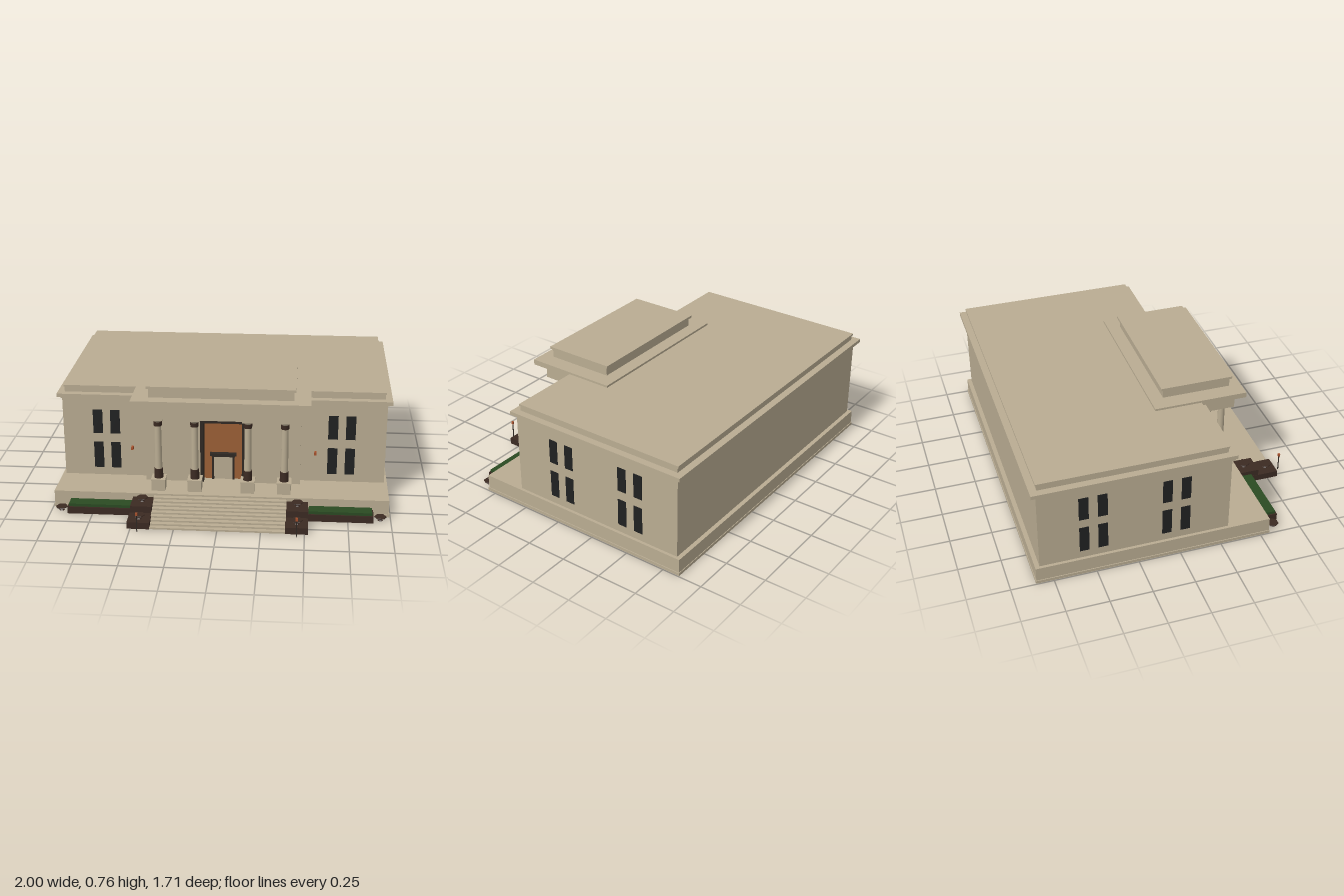
import * as THREE from 'three';

const mat = (name, color, extra = {}) => {
  const m = new THREE.MeshStandardMaterial({ color, ...extra });
  m.name = name;
  return m;
};

export function createModel() {
  const root = new THREE.Group();
  root.name = 'pillaredHall';
  const stone = mat('stone', 0xb9ac92);
  const brown = mat('darkBrown', 0x3b2a22);
  const trim = mat('darkTrim', 0x2f2823);
  const wood = mat('orangeWood', 0x9c6036);
  const leaf = mat('hedgeGreen', 0x2a4a22);
  const glass = mat('windowBlack', 0x202121);
  const lampMat = mat('lampOrange', 0xa8512c);

  // Box given by its extents on each axis
  const box = (name, m, x0, x1, y0, y1, z0, z1, parent = root) => {
    const mesh = new THREE.Mesh(new THREE.BoxGeometry(x1 - x0, y1 - y0, z1 - z0), m);
    mesh.position.set((x0 + x1) / 2, (y0 + y1) / 2, (z0 + z1) / 2);
    mesh.name = name;
    parent.add(mesh);
    return mesh;
  };
  // Box centred on x = 0
  const wide = (name, m, hx, y0, y1, z0, z1) => box(name, m, -hx, hx, y0, y1, z0, z1);
  // Round or faceted section standing on y0
  const drum = (name, m, x, z, y0, y1, rBottom, rTop, sides, parent) => {
    const g = new THREE.CylinderGeometry(rTop, rBottom, y1 - y0, sides, 1, false, Math.PI / 6);
    const mesh = new THREE.Mesh(sides < 10 ? g.toNonIndexed() : g, m);
    if (sides < 10) mesh.geometry.computeVertexNormals();
    mesh.position.set(x, (y0 + y1) / 2, z);
    mesh.name = name;
    parent.add(mesh);
  };

  // Plinth, main block and roof
  wide('plinthLip', stone, 0.995, 0, 0.018, -0.854, 0.558);
  wide('plinth', stone, 0.99, 0.018, 0.103, -0.85, 0.555);
  wide('mainWalls', stone, 0.972, 0.103, 0.605, -0.824, 0.3);
  wide('corniceBed', stone, 0.98, 0.6, 0.612, -0.832, 0.308);
  wide('cornice', stone, 1, 0.61, 0.632, -0.855, 0.323);
  wide('roofParapet', stone, 0.958, 0.632, 0.666, -0.813, 0.28);
  wide('roofCap', stone, 0.963, 0.664, 0.675, -0.82, 0.285);

  // Entrance bay with a recessed opening
  for (const s of [-1, 1]) {
    const [a, b] = s < 0 ? [-0.465, -0.135] : [0.135, 0.465];
    box('entranceWall', stone, a, b, 0.103, 0.57, 0.29, 0.36);
    const [c, d] = s < 0 ? [-0.135, -0.115] : [0.115, 0.135];
    box('portalJamb', trim, c, d, 0.103, 0.51, 0.3, 0.367);
  }
  wide('wallOverPortal', stone, 0.135, 0.51, 0.57, 0.29, 0.36);
  wide('portalLintel', trim, 0.115, 0.485, 0.51, 0.3, 0.367);
  wide('portalPanel', wood, 0.115, 0.103, 0.485, 0.3, 0.308);

  // Inner door with its surround
  wide('innerDoor', stone, 0.057, 0.103, 0.254, 0.308, 0.314);
  wide('innerDoorHead', trim, 0.072, 0.253, 0.27, 0.308, 0.328);
  wide('innerDoorCornice', trim, 0.08, 0.262, 0.277, 0.308, 0.336);
  for (const s of [-1, 1])
    box('innerDoorJamb', trim, s * 0.062 - 0.006, s * 0.062 + 0.006, 0.103, 0.254, 0.308, 0.322);

  // Entablature and stepped attic
  wide('entablature', stone, 0.465, 0.56, 0.655, 0.2, 0.516);
  wide('porticoSlab', stone, 0.52, 0.655, 0.688, 0, 0.565);
  wide('porticoAttic', stone, 0.422, 0.688, 0.745, 0.08, 0.494);
  wide('porticoCap', stone, 0.434, 0.743, 0.758, 0.066, 0.506);

  // Columns
  for (const x of [-0.373, -0.157, 0.157, 0.373]) {
    const g = new THREE.Group();
    g.name = 'column';
    root.add(g);
    const z = 0.474;
    box('pedestal', stone, x - 0.04, x + 0.04, 0.103, 0.17, z - 0.04, z + 0.04, g);
    box('pedestalCap', stone, x - 0.043, x + 0.043, 0.168, 0.177, z - 0.043, z + 0.043, g);
    drum('columnBase', brown, x, z, 0.177, 0.237, 0.027, 0.025, 20, g);
    drum('shaft', stone, x, z, 0.237, 0.515, 0.022, 0.02, 20, g);
    drum('neckBand', brown, x, z, 0.508, 0.534, 0.024, 0.025, 20, g);
    drum('capital', stone, x, z, 0.534, 0.55, 0.021, 0.032, 20, g);
    box('abacus', stone, x - 0.035, x + 0.035, 0.549, 0.561, z - 0.035, z + 0.035, g);
  }

  // Windows on the front and both sides
  const rows = [[0.152, 0.32], [0.377, 0.528]];
  for (const s of [-1, 1]) for (const [y0, y1] of rows) {
    for (const x of [0.656, 0.761])
      box('frontWindow', glass, s * x - 0.029, s * x + 0.029, y0, y1, 0.298, 0.303);
    for (const z of [0.033, -0.077, -0.453, -0.562])
      box('sideWindow', glass, s * 0.9725 - 0.0025, s * 0.9725 + 0.0025, y0, y1, z - 0.028, z + 0.028);
  }

  // Front stairs
  const steps = 9;
  for (let i = 0; i < steps; i++) {
    const h = 0.103 / (steps + 1);
    const depth = 0.255 / steps;
    wide('step', stone, 0.392, i * h, (i + 1) * h, 0.55, 0.812 - i * depth);
  }

  // Faceted planter bowl
  const bowl = (x, y, z, h, r) => {
    const g = new THREE.Group();
    g.name = 'planterBowl';
    root.add(g);
    drum('bowlFoot', brown, x, z, y, y + h * 0.3, r * 0.45, r * 0.3, 6, g);
    drum('bowlCup', brown, x, z, y + h * 0.3, y + h * 0.85, r * 0.3, r, 6, g);
    drum('bowlRim', brown, x, z, y + h * 0.85, y + h, r, r * 0.95, 6, g);
  };

  // Stair blocks, hedges, bowls and lamps, mirrored
  for (const s of [-1, 1]) {
    const pair = (name, m, a, b, ...rest) =>
      box(name, m, Math.min(s * a, s * b), Math.max(s * a, s * b), ...rest);
    pair('lowerStairBlock', brown, 0.389, 0.52, 0, 0.04, 0.556, 0.815);
    pair('upperStairBlock', brown, 0.392, 0.518, 0.04, 0.08, 0.556, 0.686);
    pair('hedgeTrough', brown, 0.52, 0.898, 0, 0.043, 0.556, 0.645);
    pair('hedge', leaf, 0.522, 0.89, 0.043, 0.06, 0.562, 0.637);
    bowl(s * 0.455, 0.08, 0.612, 0.028, 0.037);
    bowl(s * 0.455, 0.04, 0.76, 0.027, 0.037);
    bowl(s * 0.94, 0, 0.6, 0.025, 0.037);
    pair('lampPost', trim, 0.4525, 0.4575, 0, 0.103, 0.847, 0.852);
    pair('postLamp', lampMat, 0.449, 0.461, 0.103, 0.12, 0.843, 0.855);
    pair('wallLamp', lampMat, 0.547, 0.56, 0.28, 0.298, 0.3, 0.325);
  }
  return root;
}
